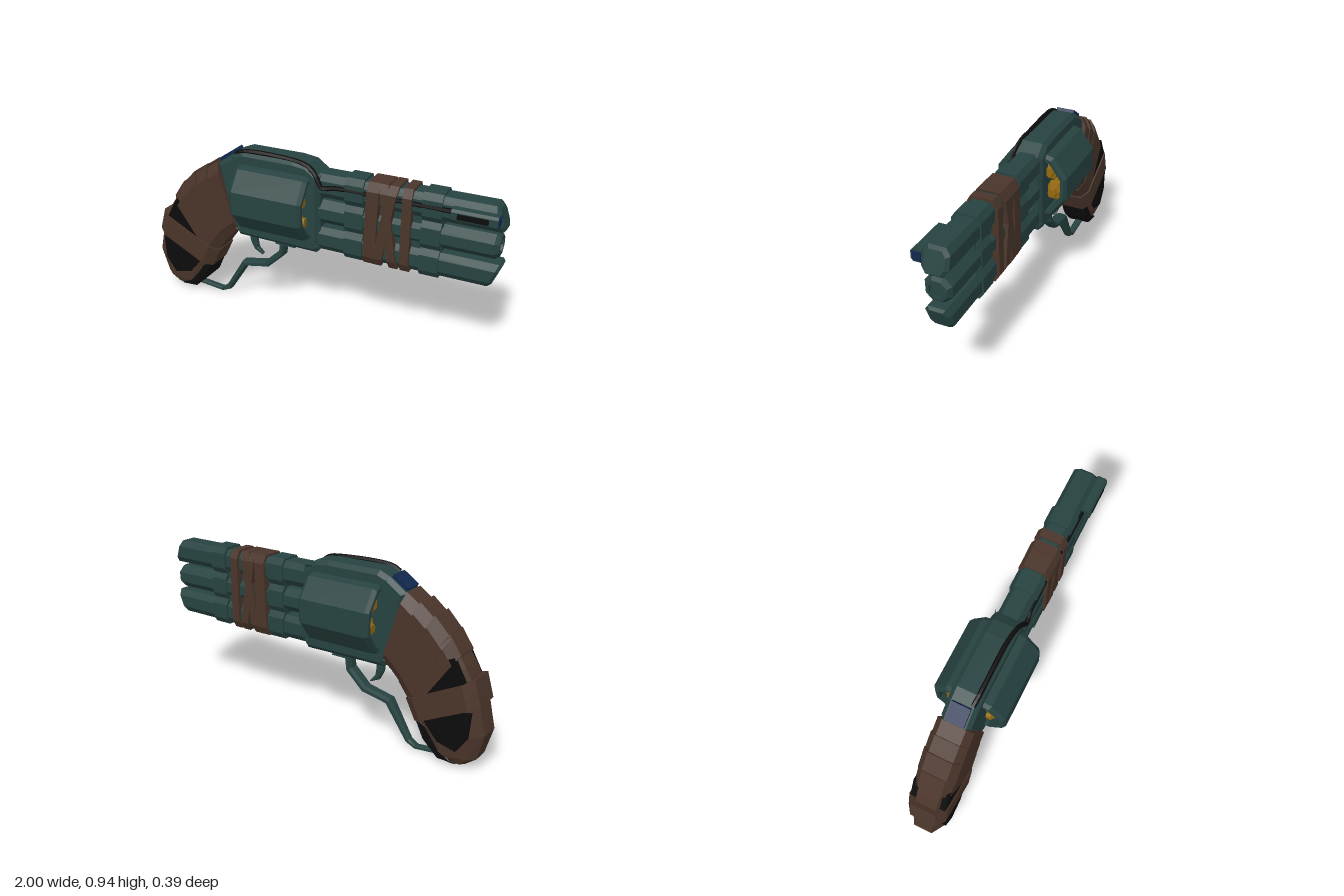
import * as THREE from 'three';

const mat = (name, color) => { const m = new THREE.MeshStandardMaterial({ color }); m.name = name; return m; };

// Solid through octagonal sections [ax, ay, bx, by, halfWidth]; a-b is the section's height in the xy plane
function loft(sections, c = 0.25, k = 0.5, z0 = 0) {
  const ring = [[0, k], [c, 1], [1 - c, 1], [1, k], [1, -k], [1 - c, -1], [c, -1], [0, -k]];
  const pos = [], idx = [], n = ring.length;
  for (const [ax, ay, bx, by, w] of sections)
    for (const [t, s] of ring) pos.push(ax + (bx - ax) * t, ay + (by - ay) * t, z0 + s * w);
  for (let i = 0; i < sections.length - 1; i++)
    for (let j = 0; j < n; j++) {
      const p = i * n + j, q = i * n + (j + 1) % n;
      idx.push(p, q, p + n, q, q + n, p + n);
    }
  const e = (sections.length - 1) * n;
  for (let j = 1; j < n - 1; j++) idx.push(0, j + 1, j, e, e + j, e + j + 1);
  // Make the faces point outward
  const P = i => new THREE.Vector3().fromArray(pos, i * 3);
  let vol = 0;
  for (let i = 0; i < idx.length; i += 3) vol += P(idx[i]).dot(P(idx[i + 1]).cross(P(idx[i + 2])));
  if (vol < 0) idx.reverse();
  const g = new THREE.BufferGeometry();
  g.setAttribute('position', new THREE.Float32BufferAttribute(pos, 3));
  g.setIndex(idx);
  return g;
}

// Bar following points [x, y, thickness, halfWidth]
function bar(pts) {
  return loft(pts.map(([x, y, t, w], i) => {
    const p = pts[Math.max(0, i - 1)], q = pts[Math.min(pts.length - 1, i + 1)];
    const dx = q[0] - p[0], dy = q[1] - p[1], s = t / 2 / Math.hypot(dx, dy);
    return [x + dy * s, y - dx * s, x - dy * s, y + dx * s, w];
  }));
}

// Flat outline extruded symmetrically in z
function slab(points, half, bevel = 0, hole) {
  const v = a => a.map(p => new THREE.Vector2(...p));
  const s = new THREE.Shape(v(points));
  if (hole) s.holes.push(new THREE.Path(v(hole)));
  return new THREE.ExtrudeGeometry(s, {
    depth: 2 * (half - bevel), bevelEnabled: bevel > 0, bevelSegments: 1,
    bevelSize: bevel, bevelThickness: bevel, bevelOffset: -bevel,
  }).translate(0, 0, bevel - half);
}

export function createModel() {
  const model = new THREE.Group();
  const teal = mat('dark teal metal', 0x264240), brown = mat('brown leather', 0x4a352a);
  const black = mat('black rubber', 0x0c0c0c), gold = mat('brass', 0x94690f), blue = mat('blue glass', 0x12284f);
  const add = (name, geo, material) => {
    const g = geo.index ? geo.toNonIndexed() : geo;
    g.computeVertexNormals();
    const m = new THREE.Mesh(g, material);
    m.name = name;
    model.add(m);
    return m;
  };
  const box = (name, x, y, z, w, h, d, m) => add(name, new THREE.BoxGeometry(w, h, d).translate(x, y, z), m);

  // Frame with a window for the drum
  add('frame', slab(
    [[-0.44, 0.44], [0.03, 0.435], [0.05, 0.46], [0.05, 0.87], [-0.02, 0.92], [-0.1, 0.93], [-0.4, 0.93], [-0.46, 0.905], [-0.555, 0.84], [-0.52, 0.68], [-0.49, 0.54]],
    0.08, 0.022, [[-0.435, 0.5], [-0.435, 0.87], [0.017, 0.87], [0.017, 0.5]]), teal);
  const rear = add('rearLens', new THREE.BoxGeometry(0.1, 0.03, 0.1), blue);
  rear.position.set(-0.505, 0.878, 0);
  rear.rotation.z = 0.6;

  // Open ten-sided drum shell
  const shell = new THREE.LatheGeometry([
    [0.172, -0.21], [0.19, -0.21], [0.205, -0.19], [0.205, 0.19], [0.19, 0.21], [0.172, 0.21], [0.172, -0.21],
  ].map(p => new THREE.Vector2(...p)), 10);
  add('drumShell', shell.rotateY(Math.PI / 2).rotateZ(-Math.PI / 2).translate(-0.21, 0.685, 0), teal);

  // Six cartridges and their hub
  for (let i = 0; i < 6; i++) {
    const a = (20 + 60 * i) * Math.PI / 180;
    const round = new THREE.LatheGeometry([
      [0, -0.19], [0.025, -0.19], [0.028, -0.175], [0.05, -0.17], [0.053, -0.14], [0.042, -0.13],
      [0.042, 0.12], [0.053, 0.13], [0.05, 0.165], [0.028, 0.17], [0.025, 0.19], [0, 0.19],
    ].map(p => new THREE.Vector2(...p)), 6);
    add('cartridge', round.rotateZ(-Math.PI / 2).translate(-0.21, 0.685 + 0.118 * Math.sin(a), 0.118 * Math.cos(a)), gold);
  }
  add('drumAxle', new THREE.CylinderGeometry(0.055, 0.055, 0.46, 8).rotateZ(Math.PI / 2).translate(-0.21, 0.685, 0), teal);

  // Three stacked barrels with chamfered muzzles
  add('upperBarrel', loft([[0.03, 0.752, 0.03, 0.88, 0.067], [0.985, 0.752, 0.945, 0.88, 0.067], [0.997, 0.765, 0.962, 0.868, 0.05]], 0.25, 0.65), teal);
  add('lowerBarrel', loft([[0.03, 0.455, 0.03, 0.583, 0.067], [0.935, 0.455, 0.985, 0.583, 0.067], [0.955, 0.467, 0.997, 0.57, 0.05]], 0.25, 0.65), teal);
  add('middleBarrel', loft([[0.03, 0.602, 0.03, 0.732, 0.068], [0.955, 0.602, 0.955, 0.732, 0.068], [0.978, 0.617, 0.978, 0.717, 0.052], [0.978, 0.632, 0.978, 0.702, 0.036], [0.965, 0.632, 0.965, 0.702, 0.036]], 0.29, 0.42), teal);
  box('barrelCore', 0.445, 0.665, 0, 0.51, 0.34, 0.09, teal);

  // Clamps around the barrels
  for (const x of [0.19, 0.595]) {
    for (const [y0, y1, w] of [[0.445, 0.595, 0.075], [0.59, 0.745, 0.073], [0.74, 0.89, 0.075]])
      add('barrelClamp', loft([[x, y0, x, y1, w], [x + 0.1, y0, x + 0.1, y1, w]], 0.22, 0.7), teal);
  }

  // Leather straps around the barrels: [bottom x, top x, width, half depth]
  for (const [b, t, s, w] of [[0.33, 0.345, 0.065, 0.083], [0.37, 0.45, 0.05, 0.085], [0.46, 0.395, 0.045, 0.084], [0.52, 0.522, 0.048, 0.083]])
    add('barrelStrap', loft([[b - s / 2, 0.443, t - s / 2, 0.892, w], [b + s / 2, 0.443, t + s / 2, 0.892, w]], 0.1, 0.7), brown);

  // Cable along the frame to the sight
  const cable = new THREE.CatmullRomCurve3([
    [-0.45, 0.905, 0.05], [-0.4, 0.927, 0.055], [-0.1, 0.927, 0.055], [-0.01, 0.91, 0.065], [0.035, 0.87, 0.075],
    [0.065, 0.815, 0.078], [0.13, 0.824, 0.068], [0.4, 0.824, 0.066], [0.76, 0.824, 0.07],
  ].map(p => new THREE.Vector3(...p)), false, 'centripetal');
  add('cable', new THREE.TubeGeometry(cable, 40, 0.013, 6), black);

  // Side sight
  add('sightBody', loft([[0.75, 0.79, 0.75, 0.853, 0.03], [0.972, 0.79, 0.972, 0.853, 0.03]], 0.2, 0.65, 0.086), teal);
  box('sightSlot', 0.855, 0.822, 0.116, 0.15, 0.028, 0.006, black);
  box('sightLens', 0.973, 0.822, 0.086, 0.008, 0.045, 0.042, blue);

  // Grip
  add('gripBody', loft([
    [-0.55, 0.83, -0.45, 0.47, 0.085], [-0.7, 0.735, -0.53, 0.385, 0.092], [-0.8, 0.655, -0.59, 0.3, 0.094],
    [-0.88, 0.54, -0.62, 0.23, 0.094], [-0.955, 0.4, -0.65, 0.175, 0.092], [-0.998, 0.22, -0.69, 0.11, 0.086],
    [-0.96, 0.08, -0.75, 0.05, 0.075], [-0.9, 0.032, -0.79, 0.032, 0.06]], 0.2, 0.6), brown);
  add('upperGripPanel', slab([[-0.9, 0.46], [-0.83, 0.585], [-0.7, 0.54], [-0.67, 0.45], [-0.7, 0.33]], 0.098), black);
  add('lowerGripPanel', slab([[-0.935, 0.33], [-0.93, 0.2], [-0.87, 0.115], [-0.77, 0.14], [-0.66, 0.27], [-0.7, 0.33]], 0.098), black);
  add('gripFrontEdge', slab([[-0.625, 0.22], [-0.675, 0.11], [-0.76, 0.03], [-0.86, 0.028], [-0.78, 0.09], [-0.7, 0.2]], 0.076, 0.015), black);

  // Overlapping leather wraps
  for (const [a, b, w] of [
    [[-0.555, 0.85, -0.44, 0.47], [-0.655, 0.78, -0.515, 0.41], 0.098],
    [[-0.63, 0.815, -0.49, 0.43], [-0.725, 0.735, -0.56, 0.36], 0.101],
    [[-0.71, 0.765, -0.53, 0.385], [-0.8, 0.67, -0.6, 0.29], 0.103],
    [[-0.79, 0.69, -0.575, 0.33], [-0.855, 0.595, -0.625, 0.26], 0.099],
    [[-0.935, 0.495, -0.575, 0.31], [-0.972, 0.37, -0.63, 0.2], 0.107],
  ]) add('gripWrap', loft([[...a, w], [...b, w]], 0.14, 0.65), brown);

  // Lever guard, its mount and the trigger
  add('lever', bar([
    [-0.85, 0.035, 0.02, 0.018], [-0.75, 0.034, 0.022, 0.02], [-0.61, 0.02, 0.022, 0.02], [-0.565, 0.045, 0.032, 0.022],
    [-0.445, 0.235, 0.038, 0.034], [-0.3, 0.265, 0.036, 0.036], [-0.205, 0.355, 0.036, 0.036], [-0.195, 0.44, 0.036, 0.036]]), teal);
  box('leverMount', -0.17, 0.432, 0, 0.12, 0.03, 0.08, teal);
  add('trigger', bar([[-0.385, 0.45, 0.05, 0.018], [-0.385, 0.39, 0.042, 0.018], [-0.37, 0.345, 0.03, 0.016], [-0.33, 0.315, 0.008, 0.012]]), teal);

  return model;
}
